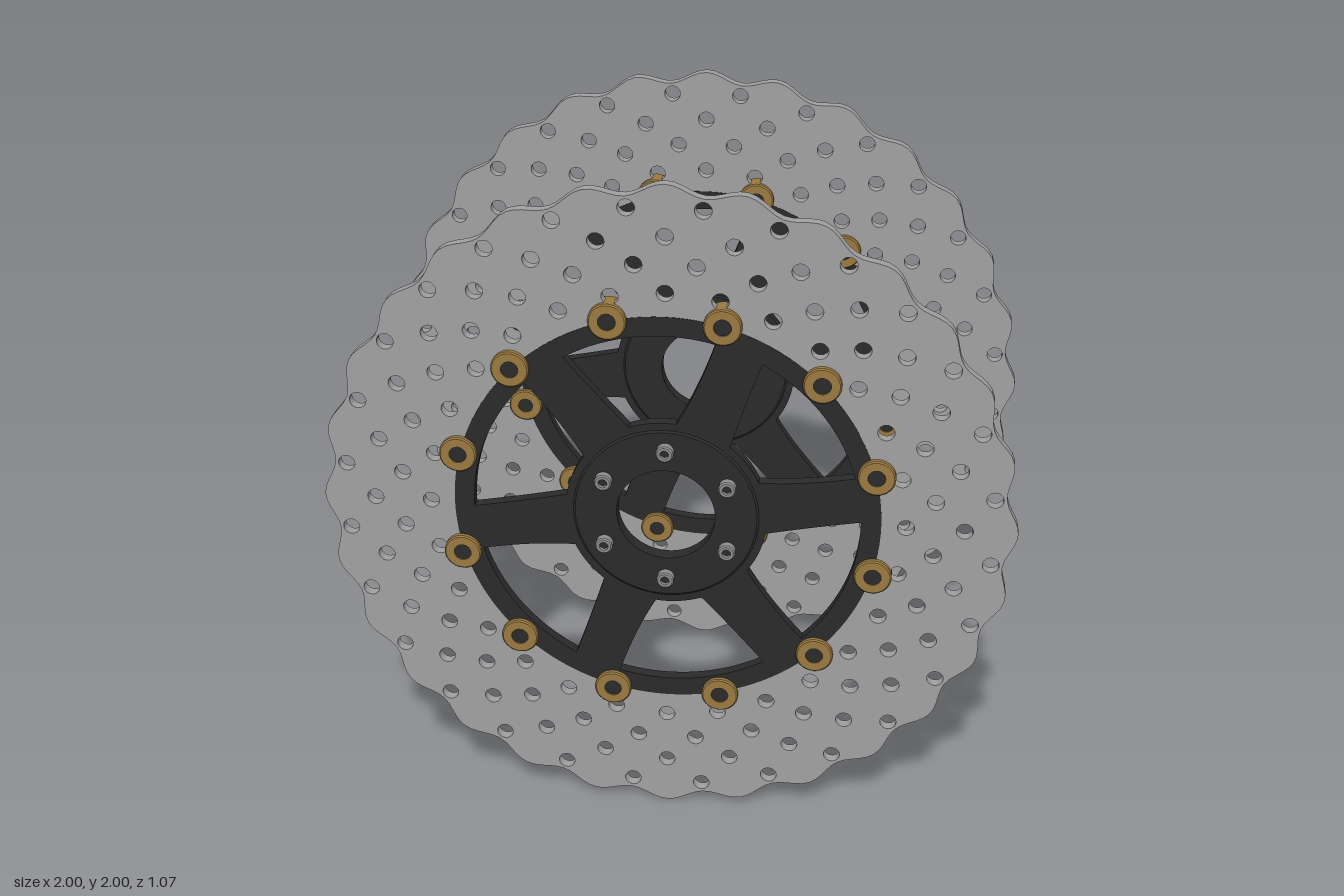
import * as THREE from 'three';
import { toCreasedNormals } from 'three/addons/utils/BufferGeometryUtils.js';

const TAU = Math.PI * 2;
const rad = (d) => (d * Math.PI) / 180;
const polar = (r, deg) => new THREE.Vector2(r * Math.cos(rad(deg)), r * Math.sin(rad(deg)));

const material = (name, color) => {
  const m = new THREE.MeshStandardMaterial({ color });
  m.name = name;
  return m;
};

// Flat plate of a given thickness, centred on z = 0
function plate(shape, thickness, curveSegments) {
  const g = new THREE.ExtrudeGeometry(shape, { depth: thickness, bevelEnabled: false, curveSegments });
  g.translate(0, 0, -thickness / 2);
  return toCreasedNormals(g, 0.6);
}

function circleHole(x, y, r) {
  return new THREE.Path().absarc(x, y, r, 0, TAU, true);
}

// Turned part with its axis along z, profile given as [radius, z]
function turned(profile, segments) {
  const g = new THREE.LatheGeometry(profile.map(([r, z]) => new THREE.Vector2(r, z)), segments);
  g.rotateX(Math.PI / 2);
  return toCreasedNormals(g, 0.5);
}

// Scalloped braking ring with four staggered rows of drilled holes
function rotorGeometry() {
  const lobes = 28, steps = lobes * 10, outline = [];
  for (let i = 0; i < steps; i++) {
    const a = (i / steps) * 360;
    outline.push(polar(0.984 + 0.016 * Math.cos(rad(a * lobes)), a));
  }
  const shape = new THREE.Shape(outline);
  shape.holes.push(circleHole(0, 0, 0.608));
  const rows = [[0.935, 0.5], [0.85, 0], [0.77, 0.5], [0.685, 0]];
  for (const [r, offset] of rows) {
    for (let i = 0; i < lobes; i++) {
      const p = polar(r, ((i + offset) * 360) / lobes);
      shape.holes.push(circleHole(p.x, p.y, 0.024));
    }
  }
  return plate(shape, 0.031, 16);
}

// Carrier: rim, six slanted spokes and hub, cut out by six windows
function carrierGeometry() {
  const shape = new THREE.Shape().absarc(0, 0, 0.615, 0, TAU, false);
  shape.holes.push(circleHole(0, 0, 0.142));
  for (let k = 0; k < 6; k++) {
    const a = k * 60;
    const hubEnd = polar(0.29, a + 24), c1 = polar(0.4, a + 17), rimStart = polar(0.557, a + 15.5);
    const c2 = polar(0.42, a + 58), hubStart = polar(0.29, a + 51);
    const w = new THREE.Path();
    w.moveTo(hubEnd.x, hubEnd.y);
    w.quadraticCurveTo(c1.x, c1.y, rimStart.x, rimStart.y);
    w.absarc(0, 0, 0.557, rad(a + 15.5), rad(a + 61), false);
    w.quadraticCurveTo(c2.x, c2.y, hubStart.x, hubStart.y);
    w.absarc(0, 0, 0.29, rad(a + 51), rad(a + 24), true);
    shape.holes.push(w);
  }
  return plate(shape, 0.034, 64);
}

export function createModel() {
  const steel = material('brushed steel', 0xa0a0a0);
  const black = material('black anodised', 0x2a2a2a);
  const gold = material('gold anodised', 0x99793f);
  const boltSteel = material('bolt steel', 0x8e8e8e);

  const rotor = rotorGeometry();
  const carrier = carrierGeometry();
  const hub = turned([[0.142, -0.022], [0.262, -0.022], [0.268, -0.017], [0.268, 0.017],
    [0.262, 0.022], [0.142, 0.022], [0.142, -0.022]], 72);
  const button = turned([[0.025, -0.032], [0.05, -0.032], [0.054, -0.028], [0.054, 0.028],
    [0.05, 0.032], [0.025, 0.032], [0.025, -0.032]], 28);
  const pin = new THREE.CylinderGeometry(0.026, 0.026, 0.056, 12).rotateX(Math.PI / 2);
  const boltHead = turned([[0.013, -0.013], [0.025, -0.013], [0.025, 0.009], [0.021, 0.013],
    [0.013, 0.013], [0.013, -0.013]], 24);
  const socket = new THREE.CylinderGeometry(0.0135, 0.0135, 0.014, 6).rotateX(Math.PI / 2);

  // One complete disc; side is +1 or -1 and sets which way the bolts face
  function disc(name, side) {
    const g = new THREE.Group();
    g.name = name;
    const add = (part, geometry, mat, x = 0, y = 0, z = 0) => {
      const m = new THREE.Mesh(geometry, mat);
      m.name = part;
      m.position.set(x, y, z);
      g.add(m);
    };
    add('rotor', rotor, steel);
    add('carrier', carrier, black);
    add('hub', hub, black);
    for (let i = 0; i < 12; i++) {
      const p = polar(0.618, 15 + i * 30);
      add('floatingButton', button, gold, p.x, p.y);
      add('buttonPin', pin, black, p.x, p.y);
    }
    for (let i = 0; i < 6; i++) {
      const p = polar(0.205, 30 + i * 60);
      add('boltHead', boltHead, boltSteel, p.x, p.y, side * 0.034);
      add('boltSocket', socket, black, p.x, p.y, side * 0.03);
    }
    g.position.set(0, 1, side * 0.488);
    return g;
  }

  const model = new THREE.Group();
  model.name = 'brakeDiscs';
  model.add(disc('frontDisc', 1), disc('backDisc', -1));
  return model;
}
